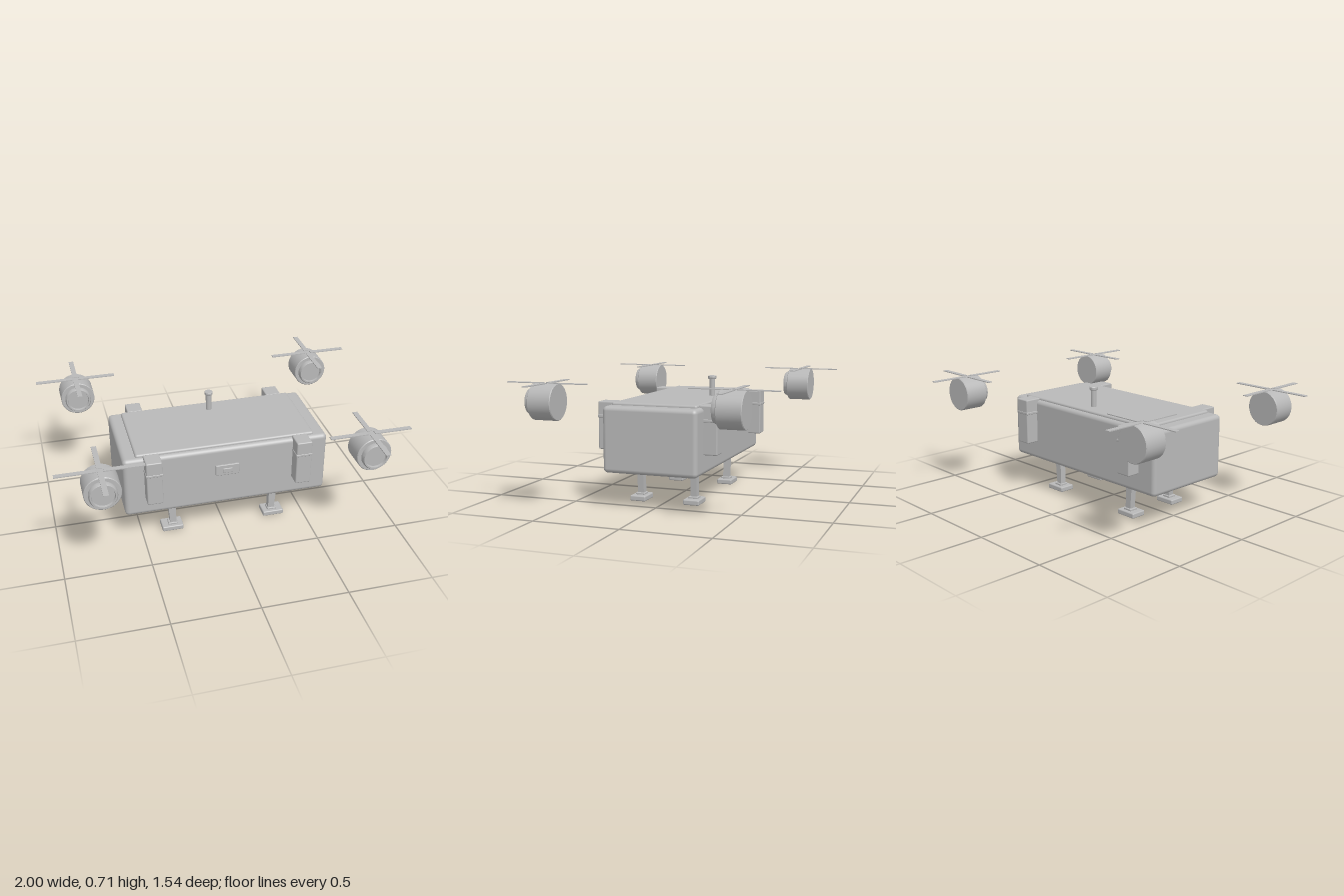
import * as THREE from 'three';
import { RoundedBoxGeometry } from 'three/addons/geometries/RoundedBoxGeometry.js';
import { toCreasedNormals } from 'three/addons/utils/BufferGeometryUtils.js';

const grey = new THREE.MeshStandardMaterial({ color: 0xb8b8b8 });
grey.name = 'grey';

function add(parent, name, geometry, x = 0, y = 0, z = 0) {
  const mesh = new THREE.Mesh(geometry, grey);
  mesh.name = name;
  mesh.position.set(x, y, z);
  parent.add(mesh);
  return mesh;
}

const rounded = (w, h, d, r) => new RoundedBoxGeometry(w, h, d, 3, r);

// Turned solid from [radius, height] points, bottom to top
function turned(points, segments = 40) {
  const lathe = new THREE.LatheGeometry(points.map(([r, h]) => new THREE.Vector2(r, h)), segments);
  return toCreasedNormals(lathe, 0.6);
}

// Motor drum facing +z with a stepped, recessed nose ring and four flat blades above
function createRotor(name) {
  const rotor = new THREE.Group();
  rotor.name = name;
  const drum = turned([
    [0, -0.07], [0.098, -0.07], [0.102, -0.066], [0.102, 0.066], [0.098, 0.07], [0, 0.07],
  ], 48);
  add(rotor, 'motorDrum', drum.rotateX(Math.PI / 2));
  const nose = turned([
    [0.078, 0.07], [0.078, 0.088], [0.072, 0.099], [0.064, 0.099], [0.061, 0.086], [0, 0.086],
  ], 48);
  add(rotor, 'noseRing', nose.rotateX(Math.PI / 2));
  for (let i = 0; i < 4; i++) {
    const blade = new THREE.BoxGeometry(0.22, 0.005, 0.029).translate(0.13, 0, 0);
    add(rotor, 'blade', blade, 0, 0.102, 0).rotation.y = i * Math.PI / 2;
  }
  return rotor;
}

// Slanted leg on a rounded foot, for the side given by sx
function createLeg(sx) {
  const leg = new THREE.Group();
  leg.name = 'leg';
  const strut = new THREE.BoxGeometry(0.044, 0.19, 0.037);
  const p = strut.attributes.position;
  for (let i = 0; i < p.count; i++) {
    const top = p.getY(i) > 0;
    p.setX(i, p.getX(i) * (top ? 1.08 : 0.84) + sx * (top ? 0.317 : 0.307));
  }
  strut.computeVertexNormals();
  add(leg, 'strut', strut, 0, 0.125, 0);
  add(leg, 'ankle', rounded(0.056, 0.014, 0.055, 0.004), sx * 0.311, 0.035, 0);
  add(leg, 'foot', rounded(0.128, 0.031, 0.096, 0.007), sx * 0.315, 0.0155, 0);
  return leg;
}

// Strap-like latch block with a raised band
function createLatch() {
  const latch = new THREE.Group();
  latch.name = 'latch';
  add(latch, 'latchBlock', rounded(0.092, 0.274, 0.105, 0.007), 0, 0.451, 0);
  add(latch, 'latchBand', rounded(0.098, 0.016, 0.109, 0.004), 0, 0.504, 0);
  return latch;
}

export function createModel() {
  const model = new THREE.Group();
  model.name = 'flyingCase';

  // Case
  add(model, 'caseBody', rounded(1.21, 0.375, 0.556, 0.025), 0, 0.3885, 0);
  add(model, 'lidPlate', rounded(1.056, 0.04, 0.506, 0.012), 0, 0.571, 0);

  // Front catch
  add(model, 'catchPlate', rounded(0.14, 0.068, 0.016, 0.004), 0, 0.434, 0.28);
  add(model, 'catchHandle', rounded(0.058, 0.03, 0.014, 0.004), 0, 0.432, 0.286);

  // Antenna
  add(model, 'antennaRod', new THREE.CylinderGeometry(0.017, 0.017, 0.11, 24), 0, 0.64, -0.165);
  const cap = turned([[0, 0], [0.022, 0], [0.025, 0.004], [0.025, 0.017], [0.022, 0.02], [0, 0.02]], 24);
  add(model, 'antennaCap', cap, 0, 0.691, -0.165);

  // Legs, latches and rotors at the four corners
  for (const sx of [-1, 1]) {
    for (const sz of [-1, 1]) {
      const leg = createLeg(sx);
      leg.position.z = sz * 0.164;
      const latch = createLatch();
      latch.position.set(sx * 0.44, 0, sz * 0.303);
      const rotor = createRotor((sz > 0 ? 'front' : 'back') + (sx > 0 ? 'Left' : 'Right') + 'Rotor');
      rotor.position.set(sx * 0.758, 0.607, sz * 0.531);
      model.add(leg, latch, rotor);
    }
  }
  return model;
}
